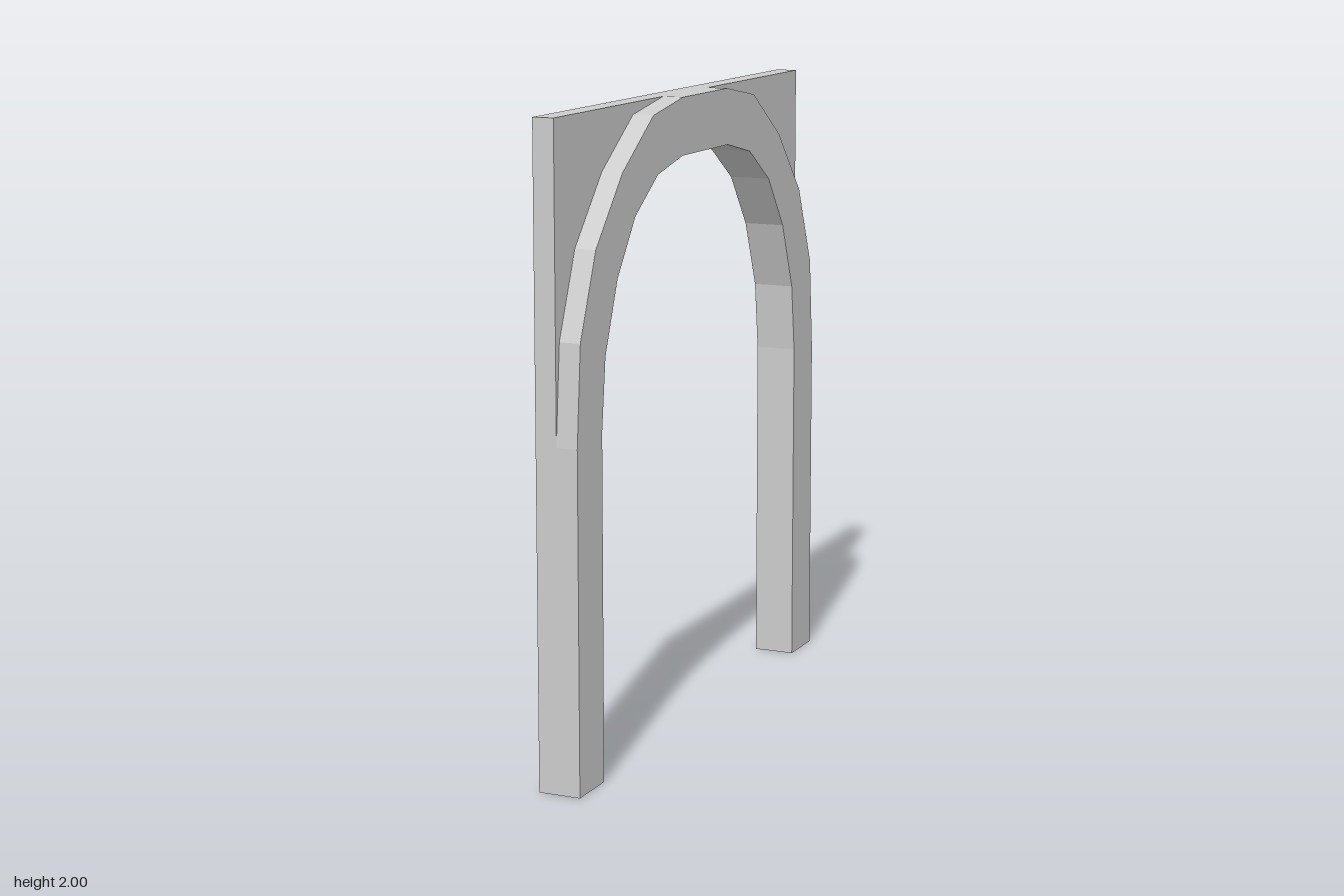
import * as THREE from 'three';

const HALF_DEPTH = 0.067;

// Half profiles as [z, y], from the springing line up to the crown
const OUTER = [[0.915, 1.05], [0.89, 1.355], [0.785, 1.612], [0.603, 1.815], [0.387, 1.963], [0.17, 2]];
const INNER = [[0.75, 1.07], [0.725, 1.29], [0.64, 1.508], [0.515, 1.677], [0.355, 1.783], [0.175, 1.822]];

// Mirror a half profile into a full curve running from one foot to the other
function fullCurve(half, footZ) {
  const side = [[footZ, 0], ...half];
  return [...side, ...side.map(([z, y]) => [-z, y]).reverse()];
}

// Extrude an outline across the depth, starting at the given x
function slab(name, outline, startX, material) {
  const shape = new THREE.Shape(outline.map(([z, y]) => new THREE.Vector2(z, y)));
  const geometry = new THREE.ExtrudeGeometry(shape, { depth: HALF_DEPTH, bevelEnabled: false });
  geometry.rotateY(Math.PI / 2);
  geometry.translate(startX, 0, 0);
  const mesh = new THREE.Mesh(geometry, material);
  mesh.name = name;
  return mesh;
}

export function createModel() {
  const group = new THREE.Group();
  group.name = 'archway';
  const material = new THREE.MeshStandardMaterial({ color: 0xcccccc, flatShading: true });

  const opening = fullCurve(INNER, 0.75).reverse();
  const archOutline = [...fullCurve(OUTER, 0.915), ...opening];
  const panelOutline = [[0.915, 0], [0.915, 2], [-0.915, 2], [-0.915, 0], ...opening];

  // Square-cornered wall panel behind, curved arch band in front of it
  group.add(slab('wallPanel', panelOutline, -HALF_DEPTH, material));
  group.add(slab('archBand', archOutline, 0, material));
  return group;
}
